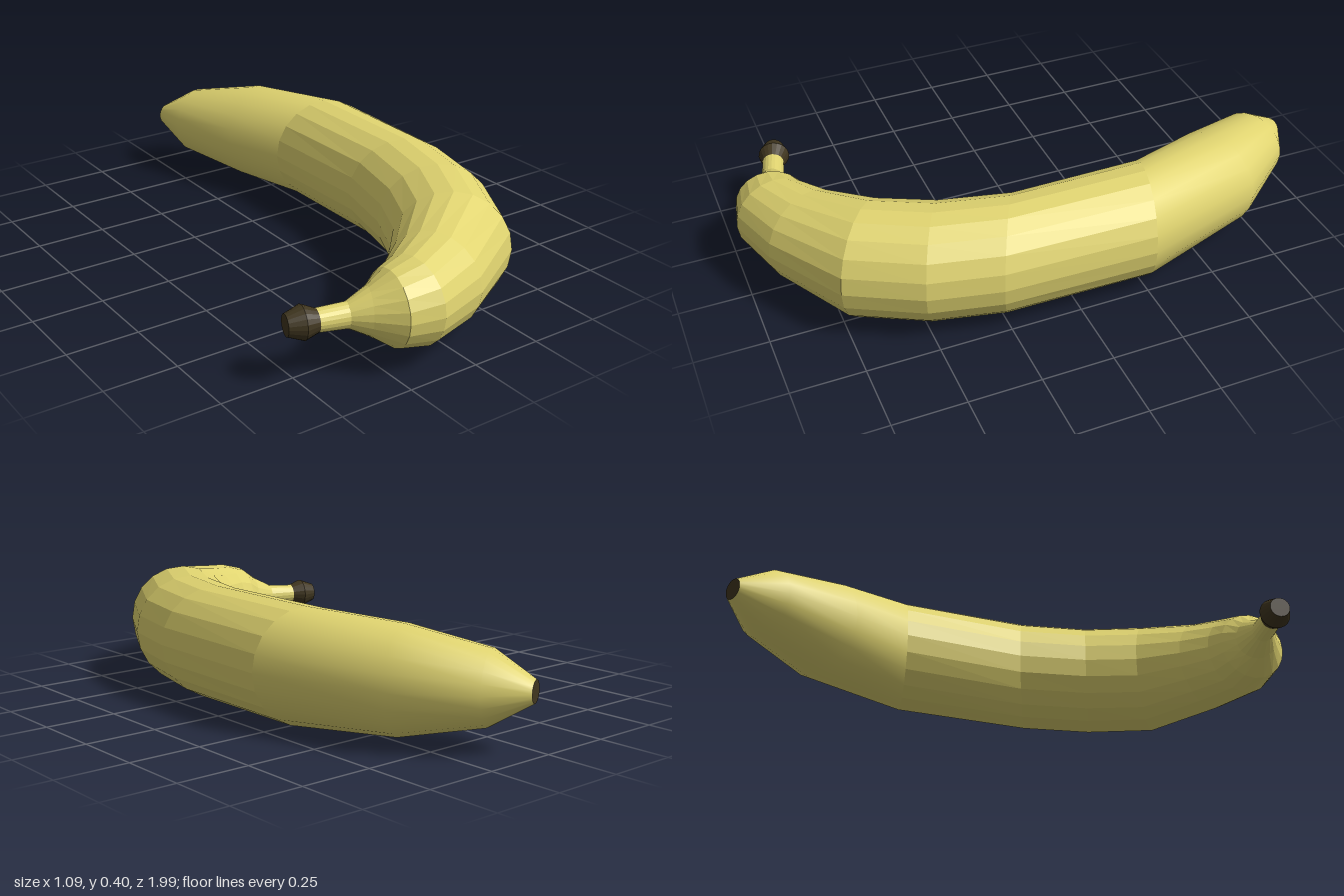
import * as THREE from 'three';

const SIDES = 20;
const MID_Y = 0.2;

// Cross-sections from blossom tip to stem:
// [inner x, inner z, outer x, outer z, half height]
const SECTIONS = [
  [0.01, -0.965, 0.08, -0.997, 0.037],
  [0.0, -0.8, 0.22, -0.92, 0.122],
  [0.085, -0.54, 0.4, -0.7, 0.178],
  [0.165, -0.33, 0.545, -0.25, 0.197],
  [0.177, 0.11, 0.53, 0.285, 0.199],
  [0.12, 0.35, 0.475, 0.53, 0.199],
  [0.04, 0.52, 0.345, 0.77, 0.199],
  [-0.07, 0.64, 0.07, 0.935, 0.164],
  [-0.155, 0.71, -0.125, 0.997, 0.147],
  [-0.21, 0.733, -0.24, 0.975, 0.125],
  [-0.26, 0.765, -0.315, 0.9, 0.078],
  [-0.342, 0.78, -0.365, 0.855, 0.042],
  [-0.437, 0.757, -0.455, 0.83, 0.037],
];
const STEM_END = [
  SECTIONS[SECTIONS.length - 1],
  [-0.474, 0.727, -0.502, 0.833, 0.055],
  [-0.53, 0.734, -0.548, 0.802, 0.035],
];

// Skins elliptical rings; a cap can close the first or the last ring
function loft(sections, { skin = true, capStart = false, capEnd = false }) {
  const pos = [];
  const index = [];
  for (const [ix, iz, ox, oz, h] of sections) {
    for (let j = 0; j < SIDES; j++) {
      const a = (j / SIDES) * Math.PI * 2;
      const k = (1 + Math.cos(a)) / 2;
      pos.push(ix + (ox - ix) * k, MID_Y + h * Math.sin(a), iz + (oz - iz) * k);
    }
  }
  if (skin) {
    for (let i = 0; i < sections.length - 1; i++) {
      for (let j = 0; j < SIDES; j++) {
        const a = i * SIDES + j;
        const b = i * SIDES + ((j + 1) % SIDES);
        index.push(a, b, b + SIDES, a, b + SIDES, a + SIDES);
      }
    }
  }
  const last = (sections.length - 1) * SIDES;
  for (let j = 1; j < SIDES - 1; j++) {
    if (capStart) index.push(0, j + 1, j);
    if (capEnd) index.push(last, last + j, last + j + 1);
  }
  const geometry = new THREE.BufferGeometry();
  geometry.setAttribute('position', new THREE.Float32BufferAttribute(pos, 3));
  geometry.setIndex(index);
  geometry.computeVertexNormals();
  return geometry;
}

export function createModel() {
  const group = new THREE.Group();
  group.name = 'banana';

  const add = (name, geometry, color, flatShading) => {
    const material = new THREE.MeshStandardMaterial({ color, flatShading });
    const mesh = new THREE.Mesh(geometry, material);
    mesh.name = name;
    group.add(mesh);
  };
  const yellow = 0xe0d470;
  const brown = 0x40361f;

  // Smooth tapering tip and its dark end
  add('tip', loft(SECTIONS.slice(0, 4), {}), yellow, false);
  add('tipEnd', loft(SECTIONS.slice(0, 1), { skin: false, capStart: true }), brown, true);

  // Faceted curved body narrowing into the stem
  add('bodyAndStem', loft(SECTIONS.slice(3), {}), yellow, true);

  // Dark flared end of the stem
  add('stemEnd', loft(STEM_END, { capStart: true, capEnd: true }), brown, true);

  return group;
}
